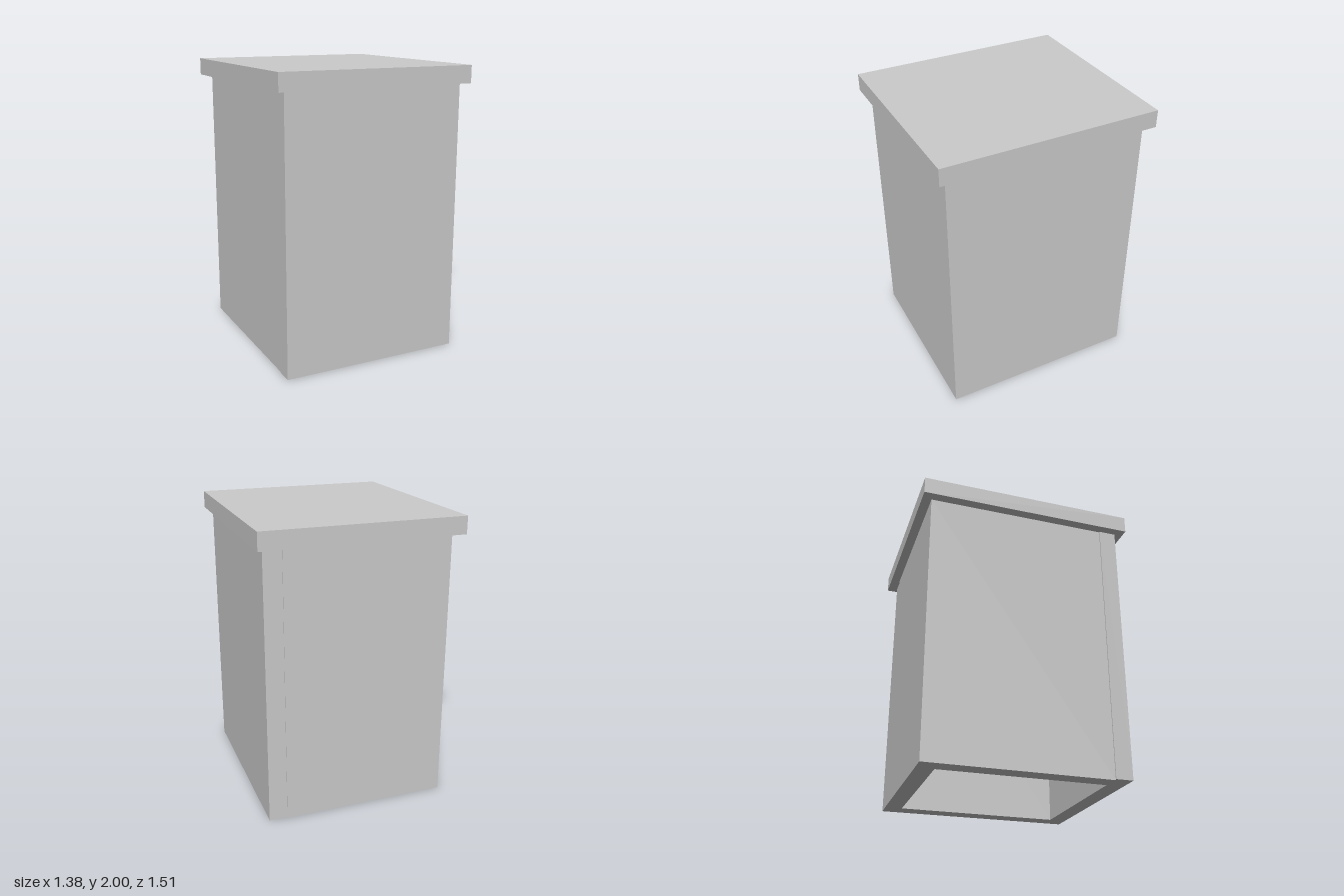
import * as THREE from 'three';

const LID_BOTTOM = 1.88;
const material = new THREE.MeshStandardMaterial({ color: 0xcccccc, flatShading: true });

export function createModel() {
  const group = new THREE.Group();

  function add(name, geometry, x, y, z) {
    const mesh = new THREE.Mesh(geometry, material);
    mesh.name = name;
    mesh.position.set(x, y, z);
    group.add(mesh);
  }

  // Upright wall piece extruded from an outline of [x, z] points
  function wall(name, outline, bottom) {
    const shape = new THREE.Shape(outline.map(([x, z]) => new THREE.Vector2(x, -z)));
    const geometry = new THREE.ExtrudeGeometry(shape, { depth: LID_BOTTOM - bottom, bevelEnabled: false });
    add(name, geometry.rotateX(-Math.PI / 2), 0, bottom, 0);
  }

  // Two L-shaped walls, butted together at opposite corners with a slight step
  wall('frontAndLeftWall', [
    [-0.63, 0.695], [0.64, 0.70], [0.645, -0.685],
    [0.52, -0.685], [0.52, 0.58], [-0.63, 0.575],
  ], 0.005);
  wall('backAndRightWall', [
    [0.52, -0.69], [-0.622, -0.69], [-0.622, 0.575],
    [-0.50, 0.575], [-0.50, -0.57], [0.52, -0.57],
  ], 0);

  // Raised floor inside the hollow base
  add('innerFloor', new THREE.BoxGeometry(1.02, 0.12, 1.145), 0.01, 0.59, 0.0025);

  // Overhanging flat lid
  add('lid', new THREE.BoxGeometry(1.38, 2 - LID_BOTTOM, 1.51), 0, (2 + LID_BOTTOM) / 2, 0);

  return group;
}
